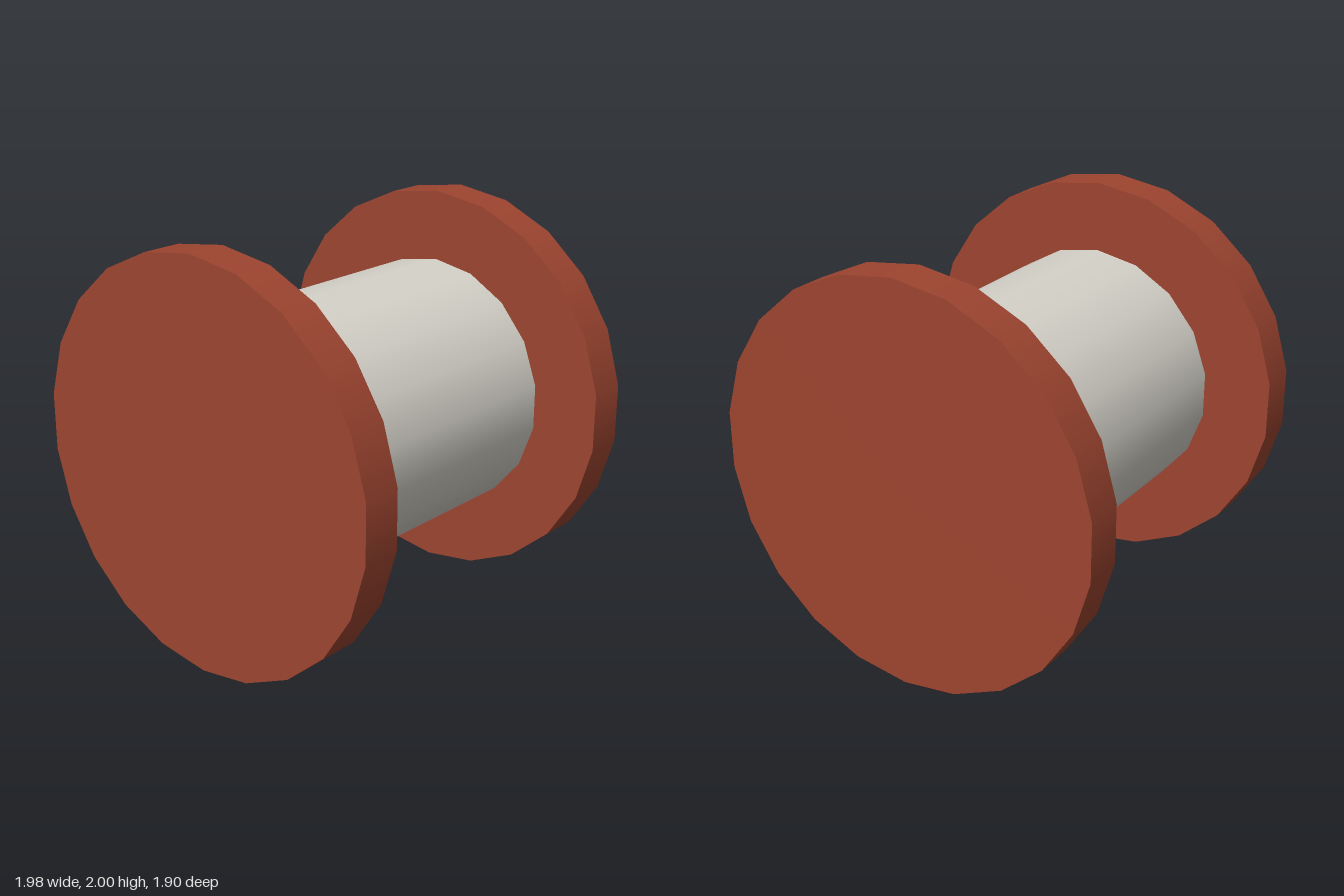
import * as THREE from 'three';

export function createModel() {
  const model = new THREE.Group();
  model.name = 'spool';

  const flangeRed = new THREE.MeshStandardMaterial({ color: 0x9e4530 });
  flangeRed.name = 'brick red';
  const barrelGrey = new THREE.MeshStandardMaterial({ color: 0xd6d3ca });
  barrelGrey.name = 'warm light grey';

  // Smooth cylinder lying along z, with a vertex at the very top
  function disc(name, radius, length, sides, z, material) {
    const geometry = new THREE.CylinderGeometry(radius, radius, length, sides);
    geometry.rotateX(Math.PI / 2);
    const mesh = new THREE.Mesh(geometry, material);
    mesh.name = name;
    mesh.position.set(0, 1, z);
    model.add(mesh);
  }

  // Central barrel between the two end flanges
  disc('barrel', 0.65, 1.5, 18, 0, barrelGrey);
  disc('frontFlange', 1, 0.2, 22, 0.85, flangeRed);
  disc('backFlange', 1, 0.2, 22, -0.85, flangeRed);

  return model;
}
